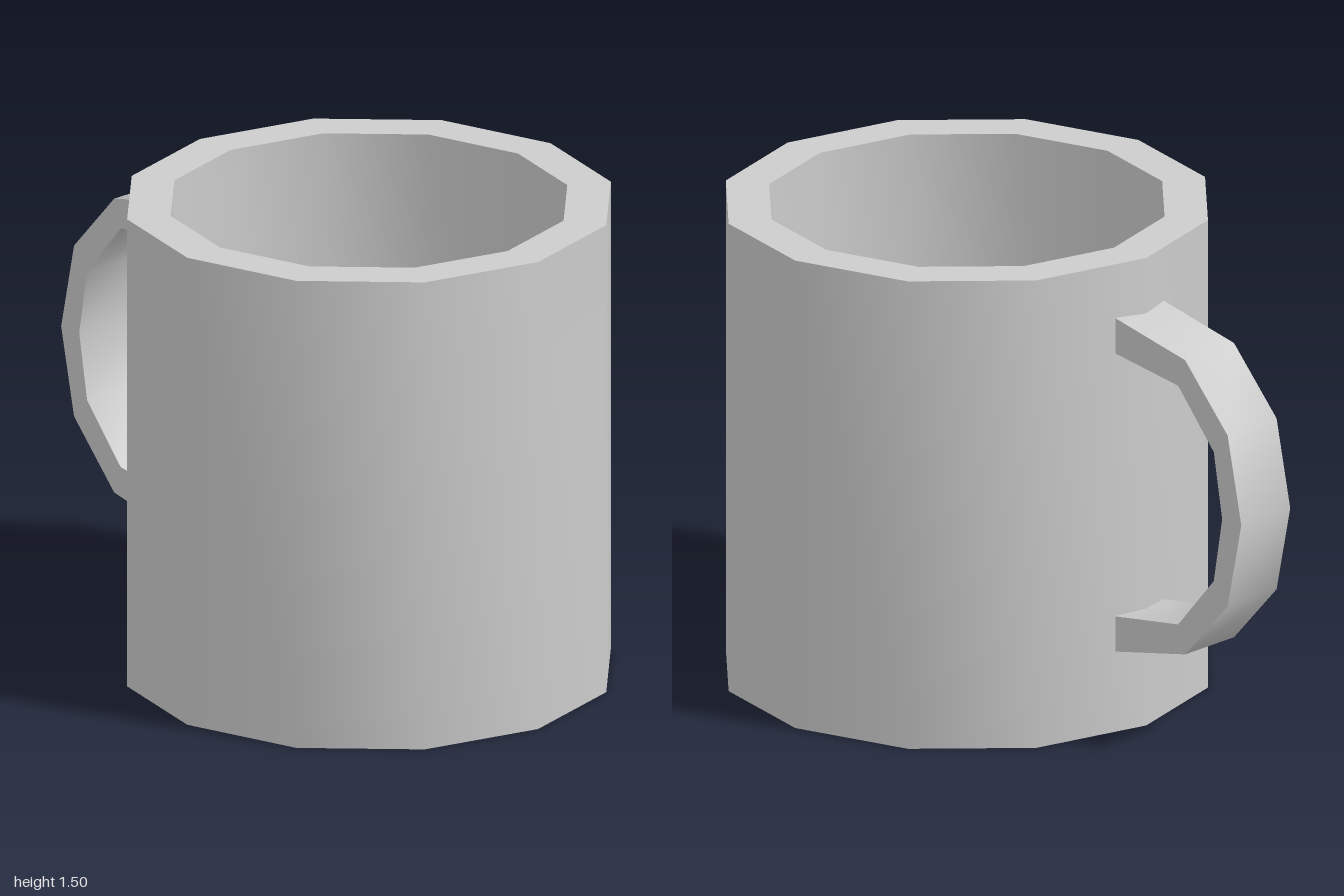
import * as THREE from 'three';
import { toCreasedNormals } from 'three/addons/utils/BufferGeometryUtils.js';

const SIDES = 12;
const CREASE = 0.8; // smooth around the bends, sharp at rims and caps

const points = (list) => list.map(([x, y]) => new THREE.Vector2(x, y));

export function createModel() {
  const group = new THREE.Group();
  group.name = 'mug';

  const ceramic = new THREE.MeshStandardMaterial({ color: 0xcccccc });
  ceramic.name = 'light grey ceramic';

  const add = (name, geometry) => {
    const mesh = new THREE.Mesh(toCreasedNormals(geometry, CREASE), ceramic);
    mesh.name = name;
    group.add(mesh);
    return mesh;
  };

  // Hollow cup: base, outer wall, rim, inner wall, floor
  const profile = points([
    [0, 0], [0.75, 0], [0.75, 1.5], [0.615, 1.5], [0.615, 0.13], [0, 0.13],
  ]);
  add('cup', new THREE.LatheGeometry(profile, SIDES)).position.x = 0.25;

  // C-shaped handle: upper half of each edge, mirrored about its middle height
  const middle = 0.793;
  const outer = [[-0.473, 1.328], [-0.765, 1.265], [-0.943, 1.067], [-1, middle]];
  const inner = [[-0.473, 1.215], [-0.736, 1.176], [-0.885, 1.0], [-0.92, middle]];
  const mirrored = (half) => [
    ...half,
    ...half.slice(0, -1).reverse().map(([x, y]) => [x, 2 * middle - y]),
  ];
  const outline = points([...mirrored(outer), ...mirrored(inner).reverse()]);
  const width = 0.214;
  const handle = new THREE.ExtrudeGeometry(new THREE.Shape(outline), {
    depth: width,
    bevelEnabled: false,
  });
  handle.translate(0, 0, -width / 2);
  add('handle', handle);

  return group;
}
